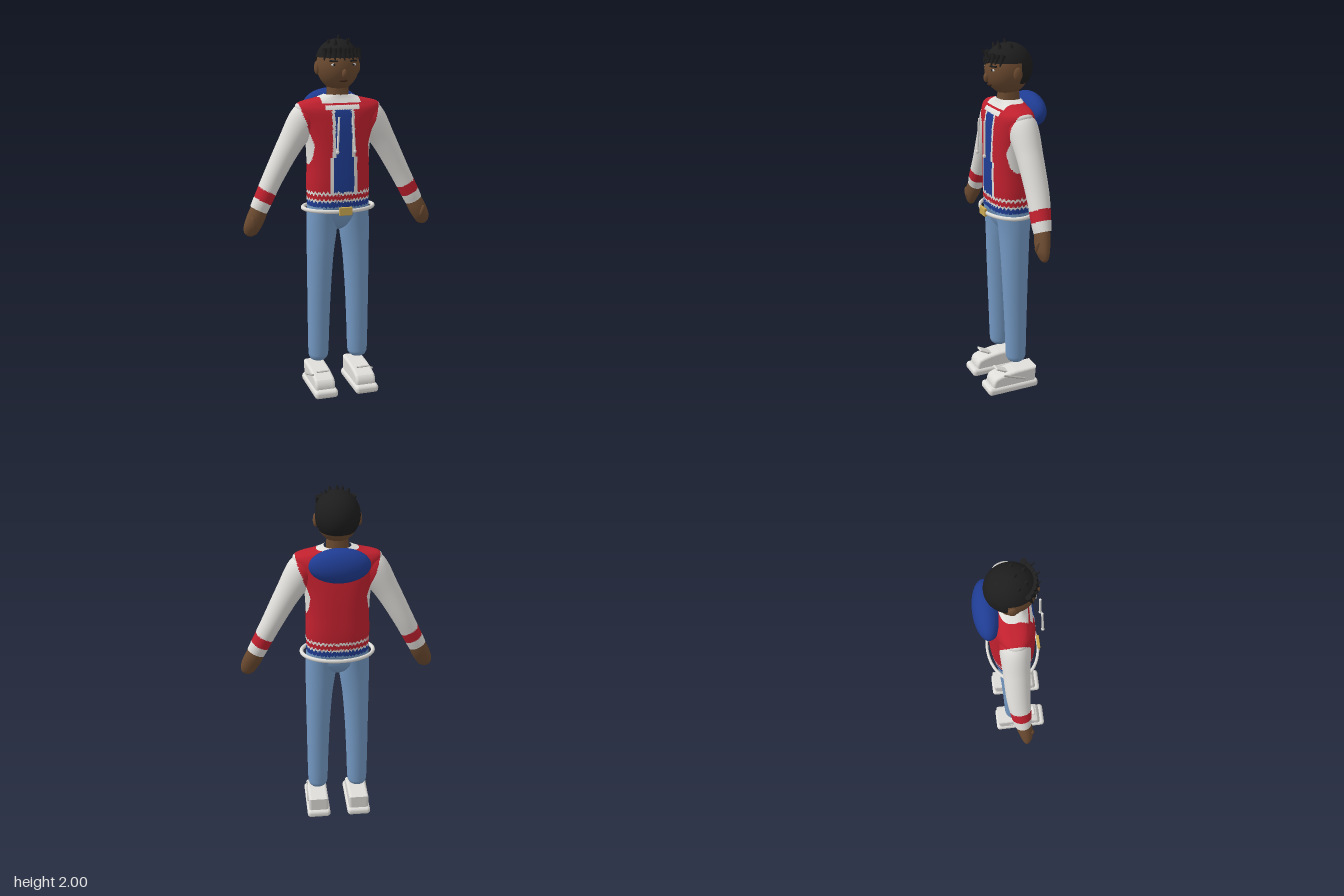
import * as THREE from 'three';
import { RoundedBoxGeometry } from 'three/addons/geometries/RoundedBoxGeometry.js';

const V = (x, y, z) => new THREE.Vector3(x, y, z);

// Smooth tube through keys [x, y, z, sideRadius, depthRadius]; p < 1 gives squarer sections
function loft(keys, seg, steps, p = 1) {
  const centre = new THREE.CatmullRomCurve3(keys.map(k => V(k[0], k[1], k[2])), false, 'catmullrom');
  const size = new THREE.CatmullRomCurve3(keys.map(k => V(k[3], k[4], 0)), false, 'catmullrom');
  const pow = v => Math.sign(v) * Math.abs(v) ** p;
  const pos = [], idx = [];
  for (let i = 0; i <= steps; i++) {
    const t = i / steps, c = centre.getPoint(t), r = size.getPoint(t);
    const d = centre.getPoint(Math.min(1, t + 0.01)).sub(centre.getPoint(Math.max(0, t - 0.01))).setZ(0).normalize();
    for (let j = 0; j < seg; j++) {
      const a = j / seg * Math.PI * 2;
      const u = pow(Math.cos(a)) * Math.max(0.001, r.x), v = pow(Math.sin(a)) * Math.max(0.001, r.y);
      pos.push(c.x + d.y * u, c.y - d.x * u, c.z + v);
      if (i < steps) {
        const k = (j + 1) % seg, o = i * seg, n = o + seg;
        idx.push(o + j, n + j, o + k, o + k, n + j, n + k);
      }
    }
  }
  const g = new THREE.BufferGeometry();
  g.setAttribute('position', new THREE.Float32BufferAttribute(pos, 3));
  g.setIndex(idx);
  g.computeVertexNormals();
  return g;
}

// Sort faces into material groups by a rule on their centre; -1 removes a face
function paint(g, count, rule) {
  const p = g.attributes.position, ix = g.index.array, lists = Array.from({ length: count }, () => []);
  for (let i = 0; i < ix.length; i += 3) {
    const f = [ix[i], ix[i + 1], ix[i + 2]];
    const mid = get => (get(f[0]) + get(f[1]) + get(f[2])) / 3;
    const m = rule(mid(a => p.getX(a)), mid(a => p.getY(a)), mid(a => p.getZ(a)));
    if (m >= 0) lists[m].push(...f);
  }
  g.clearGroups();
  let start = 0;
  lists.forEach((l, m) => { g.addGroup(start, l.length, m); start += l.length; });
  g.setIndex(lists.flat());
  return g;
}

// Inner edge of the white sleeve panel at height y
function sleeveEdge(y) {
  const e = [[1.29, 0.178], [1.35, 0.16], [1.42, 0.15], [1.5, 0.178], [1.56, 0.2], [1.64, 0.225], [1.7, 0.23]];
  if (y < e[0][0]) return 0.2;
  const i = Math.max(1, e.findIndex(k => k[0] >= y));
  return THREE.MathUtils.mapLinear(y, e[i - 1][0], e[i][0], e[i - 1][1], e[i][1]);
}

const RED = 0, WHITE = 1, BLUE = 2, JEANS = 3;
function jacketColour(x, y, z) {
  const ax = Math.abs(x), h = y + 0.005 * Math.sin(Math.atan2(z, x) * 44);
  if (h < 1.083) return JEANS;
  if (h < 1.113) return BLUE;
  if (h < 1.125) return WHITE;
  if (h < 1.152) return RED;
  if (h < 1.167) return WHITE;
  if (ax > sleeveEdge(y) || y > 1.673) return WHITE;
  if (z > 0) {
    if (y > 1.645) return ax < 0.108 ? WHITE : RED;
    if (y > 1.612) return y < 1.635 && ax < 0.095 ? WHITE : RED;
    if (ax < (y > 1.36 ? 0.045 : 0.056)) return BLUE;
    if (ax < (y > 1.36 ? 0.062 : 0.077)) return WHITE;
  }
  return RED;
}

export function createModel() {
  const root = new THREE.Group();
  root.name = 'figure';
  const mat = (name, color) => Object.assign(new THREE.MeshStandardMaterial({ color }), { name });
  const skin = mat('skin', 0x6b4a30), black = mat('hair black', 0x1d1d1d), red = mat('jacket red', 0xc0202e);
  const white = mat('white', 0xdfddd9), blue = mat('hood blue', 0x1f3c92), jeans = mat('denim', 0x7398c2);
  const gold = mat('buckle gold', 0xc9a850), lip = mat('lip brown', 0x42291b), grey = mat('lace grey', 0xbdbbb7);
  black.side = THREE.DoubleSide;

  const add = (name, g, m, parent = root) => {
    const mesh = new THREE.Mesh(g, m);
    mesh.name = name;
    parent.add(mesh);
    return mesh;
  };
  const ball = (name, m, c, r, n = 24) => {
    const mesh = add(name, new THREE.SphereGeometry(1, n, n), m);
    mesh.position.set(...c);
    mesh.scale.set(...r);
    return mesh;
  };
  const rod = (name, m, a, b, r0, r1 = r0) => {
    const d = b.clone().sub(a);
    const mesh = add(name, new THREE.CylinderGeometry(r1, r0, d.length(), 10), m);
    mesh.position.copy(a).addScaledVector(d, 0.5);
    mesh.quaternion.setFromUnitVectors(V(0, 1, 0), d.normalize());
    return mesh;
  };

  // Jacket body with placket, collar and striped hem
  const torso = loft([[0, 1.075, 0.002, 0.172, 0.113], [0, 1.2, 0, 0.175, 0.122], [0, 1.32, 0, 0.172, 0.122],
    [0, 1.44, 0, 0.18, 0.119], [0, 1.54, 0, 0.205, 0.112], [0, 1.61, 0, 0.235, 0.1],
    [0, 1.645, -0.003, 0.22, 0.08], [0, 1.668, -0.005, 0.13, 0.068], [0, 1.687, -0.005, 0.072, 0.06]], 168, 128, 0.82);
  add('jacketBody', paint(torso, 4, jacketColour), [red, white, blue, jeans]);
  ball('hood', blue, [0, 1.617, -0.125], [0.162, 0.094, 0.071], 36);

  // Hips
  add('hips', loft([[0, 0.935, 0, 0.004, 0.02], [0, 0.96, 0, 0.06, 0.06], [0, 1.0, 0, 0.15, 0.085],
    [0, 1.04, 0.002, 0.172, 0.097], [0, 1.08, 0.002, 0.172, 0.111], [0, 1.1, 0.002, 0.168, 0.11]], 64, 30, 0.9), jeans);

  for (const s of [1, -1]) {
    const side = s > 0 ? 'left' : 'right';
    const flip = keys => keys.map(k => [s * k[0], ...k.slice(1)]);

    // Sleeve with a red band near the cuff
    const sleeve = loft(flip([[0.13, 1.6, -0.005, 0.05, 0.05], [0.18, 1.56, -0.005, 0.085, 0.078],
      [0.27, 1.42, -0.007, 0.068, 0.07], [0.362, 1.25, -0.007, 0.056, 0.062],
      [0.425, 1.125, 0.003, 0.052, 0.053], [0.45, 1.075, 0.006, 0.05, 0.046]]), 48, 110);
    add(side + 'Sleeve', paint(sleeve, 2, (x, y) => {
      const along = Math.abs(x) * 0.47 - y * 0.88;
      if (along > -0.848 && along < -0.788) return RED;
      return y < 1.3 || Math.abs(x) > sleeveEdge(y) ? WHITE : RED;
    }), [red, white]);

    // Hand and thumb
    add(side + 'Hand', loft(flip([[0.437, 1.1, 0.005, 0.045, 0.04], [0.465, 1.04, 0.015, 0.05, 0.042],
      [0.49, 0.99, 0.022, 0.046, 0.034], [0.503, 0.957, 0.022, 0.037, 0.022],
      [0.508, 0.94, 0.022, 0.02, 0.012], [0.509, 0.935, 0.022, 0.002, 0.002]]), 32, 40), skin);
    ball(side + 'Thumb', skin, [s * 0.485, 1.015, 0.052], [0.014, 0.034, 0.013], 16).rotation.z = -s * 0.4 + s * 0.1;

    // Trouser leg with a rounded end
    add(side + 'Leg', loft(flip([[0.088, 1.08, 0.002, 0.086, 0.1], [0.094, 0.95, 0.003, 0.085, 0.086],
      [0.104, 0.8, 0.004, 0.075, 0.078], [0.111, 0.6, 0.004, 0.067, 0.07], [0.115, 0.4, 0.003, 0.062, 0.063],
      [0.117, 0.23, 0.002, 0.058, 0.058], [0.118, 0.19, 0.002, 0.053, 0.053],
      [0.118, 0.17, 0.002, 0.035, 0.035], [0.118, 0.162, 0.002, 0.002, 0.002]]), 40, 80), jeans);

    // Shoe: sole, sloped upper, tongue and lace
    const x = s * 0.12;
    add(side + 'Sole', new RoundedBoxGeometry(0.137, 0.048, 0.31, 4, 0.02), white).position.set(x, 0.024, 0.04);
    const shape = new THREE.Shape();
    shape.moveTo(-0.085, 0.045);
    shape.lineTo(-0.092, 0.115);
    shape.lineTo(0.02, 0.11);
    shape.quadraticCurveTo(0.11, 0.1, 0.14, 0.085);
    shape.quadraticCurveTo(0.155, 0.07, 0.152, 0.045);
    const upper = new THREE.ExtrudeGeometry(shape, {
      depth: 0.086, bevelThickness: 0.015, bevelSize: 0.014, bevelSegments: 4, curveSegments: 8 });
    upper.translate(0, 0, -0.043).rotateY(-Math.PI / 2);
    add(side + 'ShoeUpper', upper, white).position.x = x;
    const tongue = add(side + 'Tongue', new RoundedBoxGeometry(0.056, 0.012, 0.08, 2, 0.005), white);
    tongue.position.set(x, 0.129, 0.098);
    tongue.rotation.x = -0.45;
    rod(side + 'Lace', grey, V(x + s * 0.056, 0.114, 0.1), V(x + s * 0.06, 0.068, -0.03), 0.006);
    rod(side + 'LaceCross', grey, V(x - 0.03, 0.122, 0.085), V(x + 0.03, 0.122, 0.085), 0.005);

    // Hood drawstring
    rod(side + 'Drawstring', white, V(s * 0.038, 1.58, 0.15), V(s * 0.048, 1.395, 0.157), 0.006);
    ball(side + 'DrawstringTip', white, [s * 0.048, 1.394, 0.157], [0.009, 0.011, 0.009], 12);

    // Ear, eye and brow
    ball(side + 'Ear', skin, [s * 0.114, 1.828, -0.008], [0.014, 0.036, 0.025], 16);
    ball(side + 'Eye', white, [s * 0.053, 1.849, 0.107], [0.016, 0.007, 0.006], 14);
    ball(side + 'Pupil', black, [s * 0.053, 1.849, 0.112], [0.006, 0.006, 0.004], 12);
    rod(side + 'Brow', black, V(s * 0.033, 1.867, 0.115), V(s * 0.073, 1.868, 0.095), 0.005);
  }

  // Belt ring and buckle
  const belt = new THREE.TorusGeometry(1, 0.055, 12, 72).rotateX(Math.PI / 2);
  const ring = add('belt', belt, white);
  ring.scale.set(0.199, 0.2, 0.14);
  ring.position.set(0, 1.066, 0.005);
  add('buckle', new RoundedBoxGeometry(0.075, 0.046, 0.016, 2, 0.004), gold).position.set(0, 1.067, 0.148);

  // Neck, head and face
  rod('neck', skin, V(0, 1.64, -0.004), V(0, 1.76, -0.004), 0.062, 0.058);
  ball('head', skin, [0, 1.842, 0.002], [0.114, 0.134, 0.122], 48);
  ball('nose', skin, [0, 1.803, 0.123], [0.014, 0.024, 0.014], 16);
  ball('mouth', lip, [0, 1.766, 0.104], [0.024, 0.008, 0.011], 16);

  // Hair cap, with the face and neck left open
  const cap = new THREE.SphereGeometry(1, 96, 72).scale(0.12, 0.129, 0.131).translate(0, 1.851, -0.004);
  add('hairCap', paint(cap, 1, (x, y, z) => (y > 1.885 || (z < -0.028 && y > 1.77) ? 0 : -1)), [black]);

  // Fringe spikes along the hairline
  for (let i = 0; i < 9; i++) {
    const x = (i - 4) * 0.024, z = 0.125 - x * x * 4.2;
    rod('fringeSpike', black, V(x * 0.95, 1.928, z - 0.02), V(x * 1.04, 1.872 + (i % 2) * 0.008, z + 0.002), 0.016, 0.003);
    if (i % 2) rod('fringeCurl', black, V(x, 1.905, z - 0.01), V(x, 1.942, z + 0.012), 0.007, 0.002);
  }

  // Tufts on the crown
  for (const [x, z] of [[-0.055, 0.023], [0, 0.01], [0.055, 0], [-0.03, 0.06], [0.03, 0.055]]) {
    const y = 1.965 - x * x * 6 - z * z * 4;
    rod('hairTuft', black, V(x, y - 0.01, z), V(x * 1.12, y + 0.034, z + 0.008), 0.018, 0.004);
  }
  return root;
}
